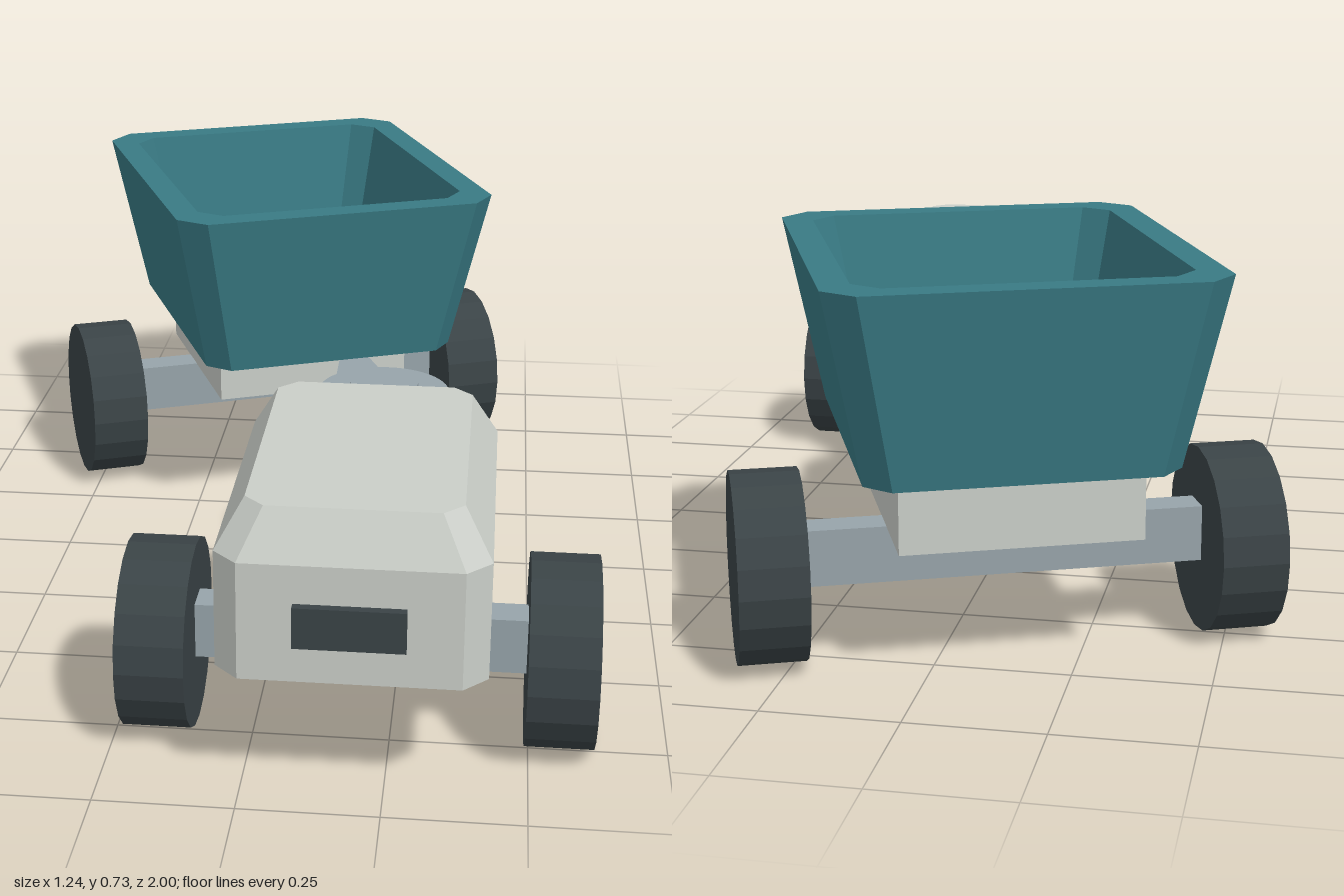
import * as THREE from 'three';

const mat = (color, opts = {}) => new THREE.MeshStandardMaterial({ color, flatShading: true, ...opts });
const paint = mat(0xcacec8);
const teal = mat(0x397a84);
const rubber = mat(0x3a4346);
const steel = mat(0x97a4aa);

const mesh = (name, geometry, material, x = 0, y = 0, z = 0) => {
  const m = new THREE.Mesh(geometry, material);
  m.name = name;
  m.position.set(x, y, z);
  return m;
};

// Closed skin through rectangles with cut corners: [halfX, halfZ, cut, y, centreZ]
function octagonLoft(rings) {
  const loops = rings.map(([hx, hz, c, y, cz = 0]) =>
    [[hx, hz - c], [hx, c - hz], [hx - c, -hz], [c - hx, -hz],
      [-hx, c - hz], [-hx, hz - c], [c - hx, hz], [hx - c, hz]].map(([x, z]) => [x, y, z + cz]));
  const pos = [];
  const tri = (...pts) => pts.forEach((p) => pos.push(...p));
  for (let r = 0; r < loops.length - 1; r++) {
    for (let i = 0; i < 8; i++) {
      const j = (i + 1) % 8;
      const a = loops[r][i], b = loops[r][j], c = loops[r + 1][j], d = loops[r + 1][i];
      tri(a, b, c);
      tri(a, c, d);
    }
  }
  const first = loops[0], last = loops[loops.length - 1];
  for (let i = 1; i < 7; i++) {
    tri(first[0], first[i + 1], first[i]);
    tri(last[0], last[i], last[i + 1]);
  }
  const g = new THREE.BufferGeometry();
  g.setAttribute('position', new THREE.Float32BufferAttribute(pos, 3));
  g.computeVertexNormals();
  return g;
}

// Flat link with a round eye at the origin and an arm running towards +z
function eyeLink(radius, halfWidth, length, y0, y1) {
  const a = Math.asin(halfWidth / radius);
  const s = new THREE.Shape();
  s.moveTo(halfWidth, -length);
  s.absarc(0, 0, radius, -Math.PI / 2 + a, Math.PI * 1.5 - a, false);
  s.lineTo(-halfWidth, -length);
  s.closePath();
  const g = new THREE.ExtrudeGeometry(s, { depth: y1 - y0, bevelEnabled: false, curveSegments: 20 });
  return g.rotateX(-Math.PI / 2).translate(0, y0, 0);
}

// Square axle beam with a wheel on each end
function axle(name, track) {
  const g = new THREE.Group();
  g.name = name;
  g.add(mesh('axleBeam', new THREE.BoxGeometry(track * 2 - 0.1, 0.105, 0.065), steel, 0, 0.193, 0));
  for (const side of [-1, 1]) {
    const wheel = new THREE.CylinderGeometry(0.175, 0.175, 0.124, 20).rotateZ(Math.PI / 2);
    g.add(mesh(side > 0 ? 'leftWheel' : 'rightWheel', wheel, rubber, side * track, 0.175, 0));
  }
  return g;
}

export function createModel() {
  const model = new THREE.Group();
  model.name = 'articulatedDumper';

  // Everything hangs off the hitch pin at the local origin
  const vehicle = new THREE.Group();
  vehicle.name = 'vehicle';
  vehicle.position.set(0.193, 0, 0.115);
  model.add(vehicle);

  // Front tractor unit
  const tractor = new THREE.Group();
  tractor.name = 'tractor';
  tractor.add(mesh('tractorBody', octagonLoft([
    [0.232, 0.327, 0.043, 0.245, 0.542],
    [0.232, 0.327, 0.043, 0.46, 0.542],
    [0.183, 0.283, 0.035, 0.545, 0.54],
  ]), paint));
  tractor.add(mesh('grille', new THREE.BoxGeometry(0.19, 0.075, 0.04), rubber, 0, 0.353, 0.865));
  const frontAxle = axle('frontAxle', 0.361);
  frontAxle.position.z = 0.582;
  tractor.add(frontAxle);
  tractor.add(mesh('upperForkPlate', eyeLink(0.132, 0.085, 0.23, 0.397, 0.434), steel));
  tractor.add(mesh('lowerForkPlate', eyeLink(0.132, 0.085, 0.23, 0.262, 0.297), steel));
  vehicle.add(tractor);

  // Hitch pin
  vehicle.add(mesh('hitchPin', new THREE.CylinderGeometry(0.07, 0.07, 0.224, 20), steel, 0, 0.341, 0));

  // Trailer swung about the pin
  const trailer = new THREE.Group();
  trailer.name = 'trailer';
  trailer.rotation.y = THREE.MathUtils.degToRad(22);
  trailer.add(mesh('drawbar', eyeLink(0.134, 0.08, 0.52, 0.3, 0.374).rotateY(Math.PI), steel));
  trailer.add(mesh('trailerChassis', new THREE.BoxGeometry(0.437, 0.135, 0.463), paint, 0, 0.312, -0.735));
  const rearAxle = axle('rearAxle', 0.431);
  rearAxle.position.z = -0.777;
  trailer.add(rearAxle);

  // Open hopper: outer walls, rim, inner walls, floor
  trailer.add(mesh('hopper', octagonLoft([
    [0.28, 0.341, 0.045, 0.376, -0.68],
    [0.351, 0.403, 0.054, 0.728, -0.68],
    [0.295, 0.347, 0.045, 0.728, -0.68],
    [0.235, 0.293, 0.037, 0.43, -0.68],
  ]), teal));
  vehicle.add(trailer);

  return model;
}
